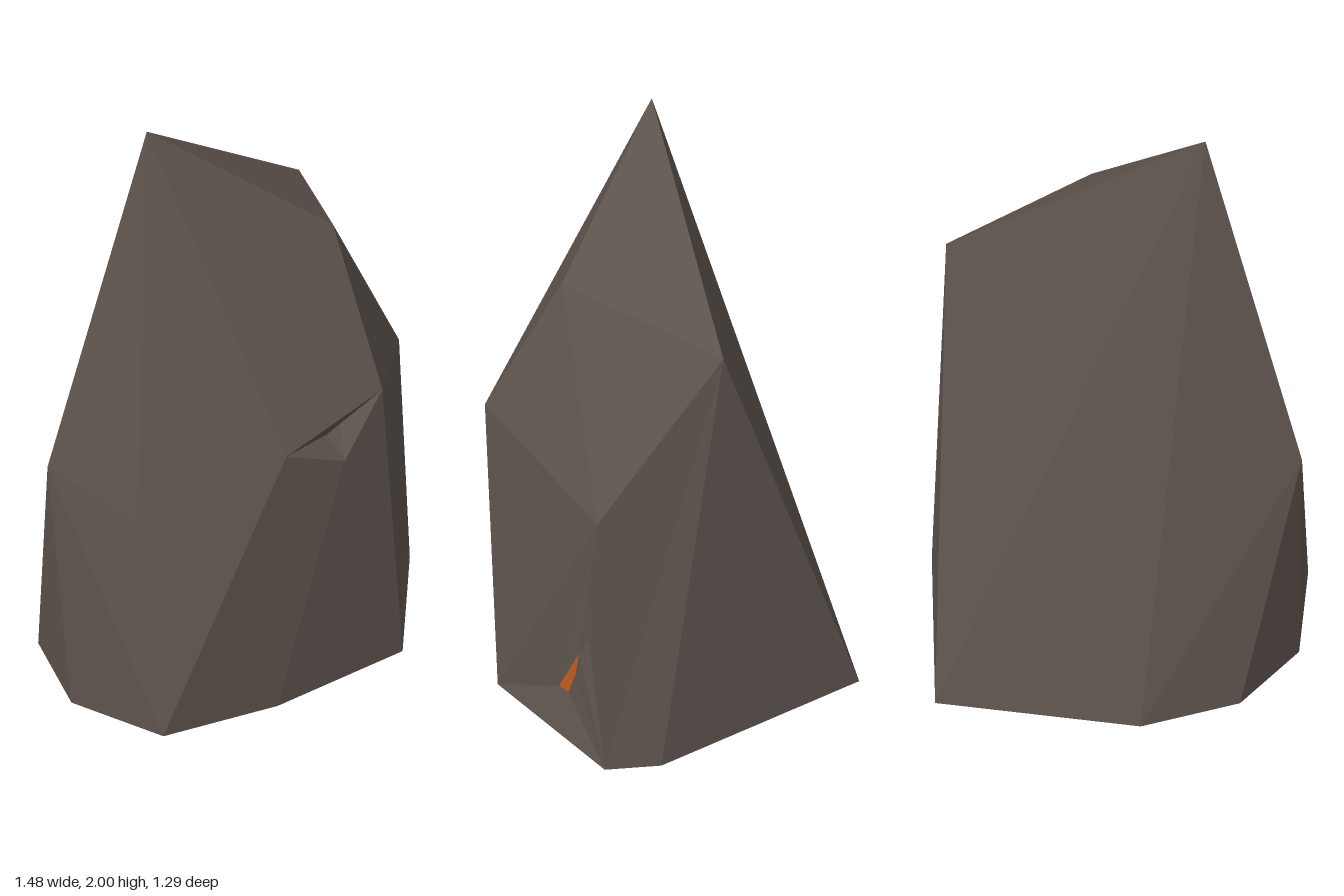
import * as THREE from 'three';

// Named corners of the rock
const P = {
  // upper corners
  peak: [-0.33, 2, 0.055], brow: [0.18, 1.63, 0.36], shoulder: [0.495, 1.55, -0.13],
  hip: [0.615, 1, 0.27], nose: [0.16, 1.145, 0.63], flank: [-0.725, 0.92, 0], cheek: [-0.59, 0.8, 0.29],
  // base ring
  b0: [-0.74, 0, 0.09], b1: [-0.22, 0, 0.57], b2: [0.315, 0, 0.645], b3: [0.74, 0, 0.27],
  b4: [0.73, 0, 0.075], b5: [0.36, 0, -0.65], b6: [-0.35, 0, -0.485], b7: [-0.63, 0, -0.245],
  chip: [-0.65, 0.05, 0.475],
  // front notch
  n1: [-0.19, 1, 0.555], n2: [0.02, 0.92, 0.61], m1: [0, 1, 0.545], m2: [0.05, 1.02, 0.55],
  // side crevice and its glowing seam
  w: [0.585, 0.47, 0.31], o1: [0.57, 0.39, 0.345], o2: [0.49, 0.16, 0.42],
  o3: [0.525, 0.165, 0.388], o4: [0.55, 0.27, 0.36],
};

// Each face is a convex loop of corner names, counter-clockwise from outside
function facetMesh(name, material, faces) {
  const pos = [];
  for (const face of faces) {
    const c = face.split(' ');
    for (let i = 1; i < c.length - 1; i++) pos.push(...P[c[0]], ...P[c[i]], ...P[c[i + 1]]);
  }
  const geo = new THREE.BufferGeometry();
  geo.setAttribute('position', new THREE.Float32BufferAttribute(pos, 3));
  geo.computeVertexNormals();
  const mesh = new THREE.Mesh(geo, material);
  mesh.name = name;
  return mesh;
}

export function createModel() {
  const stone = new THREE.MeshStandardMaterial({ color: 0x5c524c });
  stone.name = 'stone';
  const ember = new THREE.MeshStandardMaterial({ color: 0xc25a20 });
  ember.name = 'ember';

  const group = new THREE.Group();
  group.name = 'rock';
  group.add(
    facetMesh('frontFacets', stone, [
      'peak nose brow', 'peak n1 nose', 'peak cheek n1', 'cheek chip n1', 'chip b1 n1',
      'b1 n2 n1', 'b1 b2 n2', 'b2 nose n2', 'flank cheek peak', 'flank chip cheek',
      'flank b0 chip', 'b0 b1 chip',
    ]),
    facetMesh('frontNotch', stone, ['n1 m1 m2 nose', 'n1 n2 m1', 'm1 n2 m2', 'n2 nose m2']),
    facetMesh('leftFacets', stone, [
      'nose b2 hip', 'nose hip brow', 'brow hip shoulder', 'peak brow shoulder',
      'shoulder hip b3', 'shoulder b3 b4', 'shoulder b4 b5',
    ]),
    facetMesh('sideCrevice', stone, [
      'hip b2 o2', 'hip o2 o1', 'hip o1 w', 'b2 b3 o3', 'b2 o3 o2',
      'b3 o4 o3', 'b3 o1 o4', 'b3 w o1', 'b3 hip w',
    ]),
    facetMesh('emberSeam', ember, ['o1 o2 o3', 'o1 o3 o4']),
    facetMesh('backFacets', stone, [
      'peak shoulder b5', 'peak b5 b6', 'peak b6 flank', 'flank b6 b7', 'flank b7 b0',
    ]),
    facetMesh('base', stone, ['b0 b7 b6 b5 b4 b3 b2 b1']),
  );
  return group;
}
